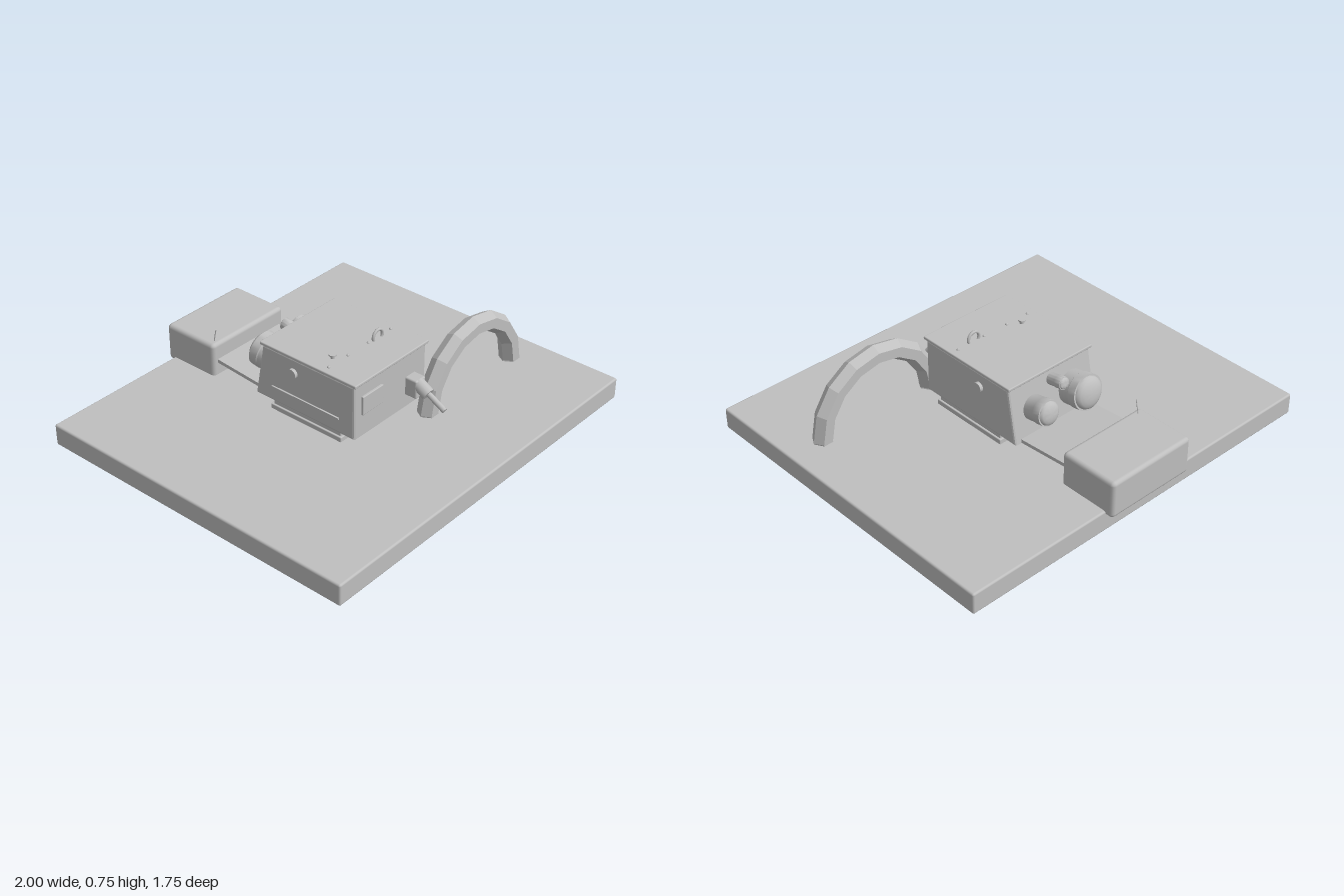
import * as THREE from 'three';
import { RoundedBoxGeometry } from 'three/addons/geometries/RoundedBoxGeometry.js';
import { toCreasedNormals } from 'three/addons/utils/BufferGeometryUtils.js';

export function createModel() {
  const model = new THREE.Group();
  model.name = 'machineOnSlab';
  const grey = new THREE.MeshStandardMaterial({ color: 0xbfbfbf });
  grey.name = 'plain grey';

  const add = (name, geometry, x = 0, y = 0, z = 0, parent = model) => {
    const mesh = new THREE.Mesh(geometry, grey);
    mesh.name = name;
    mesh.position.set(x, y, z);
    parent.add(mesh);
    return mesh;
  };
  // Box given by its limits, with softened edges
  const block = (name, [x0, x1], [y0, y1], [z0, z1], radius) =>
    add(name, new RoundedBoxGeometry(x1 - x0, y1 - y0, z1 - z0, 2, radius),
      (x0 + x1) / 2, (y0 + y1) / 2, (z0 + z1) / 2);
  // Round bar between two points
  const rod = (name, a, b, r) => {
    const from = new THREE.Vector3(...a), to = new THREE.Vector3(...b);
    const dir = to.clone().sub(from);
    const mesh = add(name, new THREE.CylinderGeometry(r, r, dir.length(), 12));
    mesh.position.copy(from).addScaledVector(dir, 0.5);
    mesh.quaternion.setFromUnitVectors(new THREE.Vector3(0, 1, 0), dir.normalize());
    return mesh;
  };
  const lathe = (points, sides) => toCreasedNormals(
    new THREE.LatheGeometry(points.map(p => new THREE.Vector2(...p)), sides), 0.6);

  // Slab and the faceted hoop passing through it
  block('slab', [-1, 1], [0.25, 0.36], [-0.837, 0.877], 0.01);
  const hoop = new THREE.TorusGeometry(0.315, 0.05, 6, 16).toNonIndexed();
  hoop.computeVertexNormals();
  add('hoop', hoop, 0.5, 0.365, 0.38);

  // Two-step plinth
  block('plinthLower', [-0.255, 0.255], [0.355, 0.384], [-0.19, 0.235], 0.004);
  block('plinthUpper', [-0.245, 0.245], [0.38, 0.405], [-0.18, 0.225], 0.004);

  // Body with a sloping back, bevelled all round
  const bevel = 0.01;
  const profile = new THREE.Shape([
    [-0.297, 0.41], [0.275, 0.41], [0.228, 0.67], [-0.297, 0.67],
  ].map(p => new THREE.Vector2(...p)));
  const bodyGeometry = new THREE.ExtrudeGeometry(profile, {
    depth: 0.48, bevelEnabled: true, bevelSize: bevel, bevelThickness: bevel, bevelSegments: 2,
  });
  bodyGeometry.translate(0, 0, -0.24).rotateY(Math.PI / 2);
  add('body', bodyGeometry);
  block('lid', [-0.257, 0.257], [0.679, 0.695], [-0.25, 0.32], 0.005);

  // Lid fittings: filler cap, lifting eye and rivets
  add('fillerCap', lathe([[0, 0], [0.011, 0], [0.011, 0.011], [0.019, 0.016], [0.019, 0.022], [0, 0.022]], 16),
    -0.145, 0.694, 0.092);
  add('liftingEye', new THREE.TorusGeometry(0.032, 0.0075, 8, 24), 0.113, 0.709, 0.137);
  for (const x of [-0.215, -0.085, 0.055, 0.213]) {
    add('lidRivet', new THREE.SphereGeometry(0.008, 10, 6), x, 0.695, 0.13);
  }

  // Side fittings
  for (const side of [-1, 1]) {
    const boss = add('sideBoss', new THREE.CylinderGeometry(0.025, 0.025, 0.02, 20), side * 0.256, 0.605, -0.05);
    boss.rotation.z = Math.PI / 2;
  }
  add('sideRail', new THREE.BoxGeometry(0.01, 0.01, 0.4), -0.253, 0.48, 0.02);

  // Front hatch
  block('frontHatch', [-0.2, -0.06], [0.513, 0.61], [0.3, 0.318], 0.004);

  // Lever with its bracket and collar
  block('leverBracket', [0.107, 0.176], [0.465, 0.56], [0.3, 0.37], 0.008);
  rod('leverCollar', [0.14, 0.535, 0.35], [0.14, 0.497, 0.415], 0.033);
  rod('lever', [0.14, 0.515, 0.39], [0.14, 0.45, 0.51], 0.014);

  // Domed lamps standing square to the sloping back
  const lamps = [
    ['largeLamp', -0.123, 0.535, 0.084, 0.105, 0.033],
    ['mediumLamp', 0.118, 0.54, 0.06, 0.102, 0.022],
    ['smallLamp', -0.005, 0.628, 0.029, 0.085, 0.01],
  ];
  for (const [name, x, y, r, length, dome] of lamps) {
    const points = [[r, -0.03], [r, length * 0.55], [r * 1.05, length * 0.6], [r * 1.05, length], [r * 0.95, length]];
    for (let i = 1; i <= 5; i++) {
      const a = (i / 5) * Math.PI / 2;
      points.push([Math.max(0, r * 0.95 * Math.cos(a)), length + dome * Math.sin(a)]);
    }
    const z = -0.285 + (y - 0.4) * 0.18;
    add(name, lathe(points, 28), x, y, z).rotation.x = -Math.PI / 2 + 0.178;
  }

  // Rear box, the sloping board that joins it, and its aerial
  block('rearBox', [-0.241, 0.241], [0.336, 0.528], [-0.877, -0.57], 0.02);
  const board = add('joiningBoard', new THREE.BoxGeometry(0.425, 0.018, 0.34), 0, 0.422, -0.425);
  board.rotation.x = 0.08;
  rod('aerial', [-0.2, 0.52, -0.602], [-0.2, 0.595, -0.585], 0.0025);

  return model;
}
